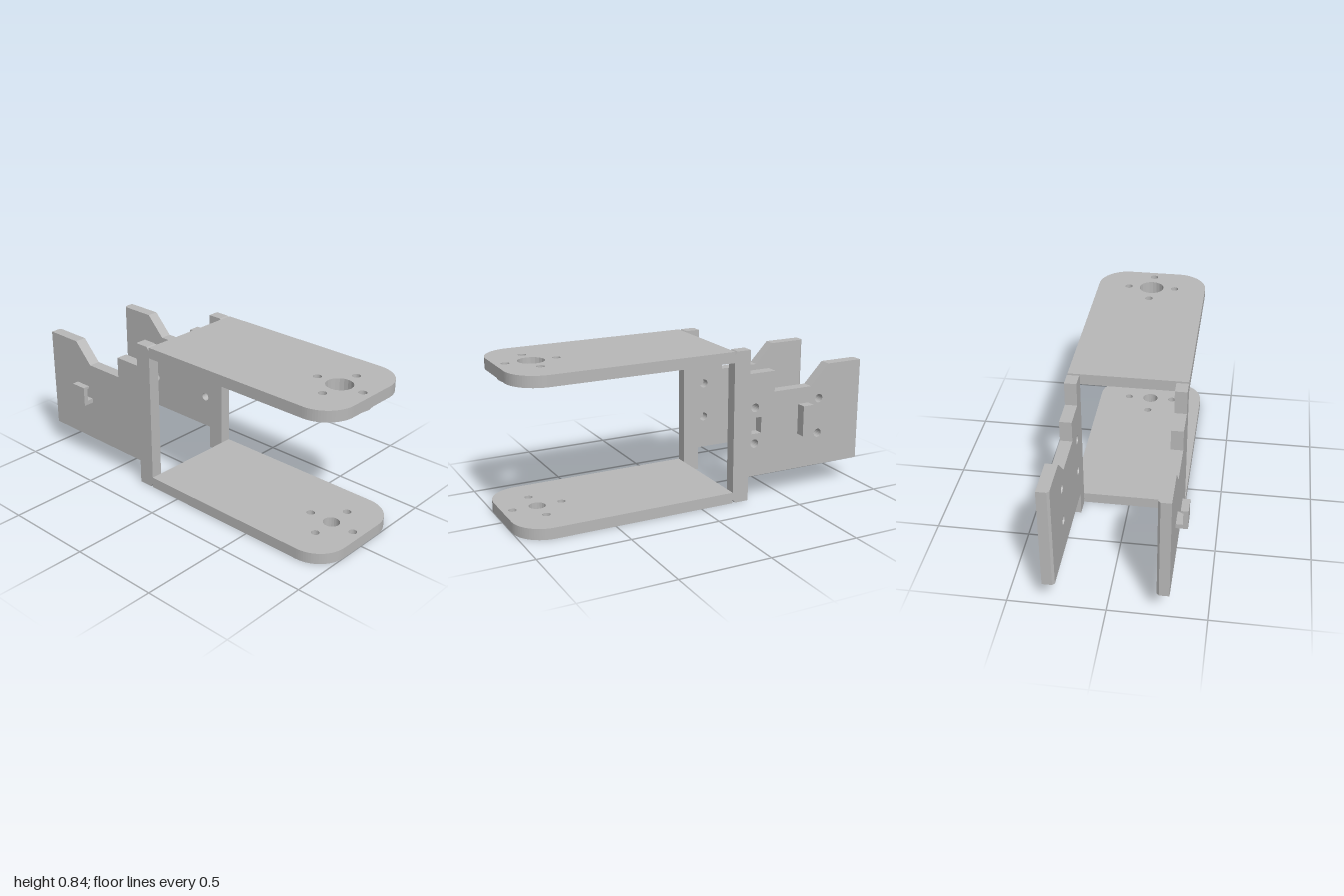
import * as THREE from 'three';

const HALF = 0.313;   // half width of the bracket
const WALL = 0.064;   // side panel thickness
const PIVOT = 0.81;   // z of the pivot holes

const circle = (x, y, r) => new THREE.Path().absarc(x, y, r, 0, Math.PI * 2, true);
const polygon = (pts, Type = THREE.Shape) => new Type(pts.map(([x, y]) => new THREE.Vector2(x, y)));

export function createModel() {
  const model = new THREE.Group();
  model.name = 'hingeBracket';
  const grey = new THREE.MeshStandardMaterial({ color: 0xb8b8b8 });
  grey.name = 'plain grey';

  const add = (name, geometry, parent = model) => {
    const mesh = new THREE.Mesh(geometry, grey);
    mesh.name = name;
    parent.add(mesh);
    return mesh;
  };
  const extrude = (shape, depth) =>
    new THREE.ExtrudeGeometry(shape, { depth, bevelEnabled: false, curveSegments: 10 });

  // Horizontal piece drawn in x/z, hanging down from height top
  const slab = (name, shape, top, thickness) =>
    add(name, extrude(shape, thickness).rotateX(Math.PI / 2).translate(0, top, 0));

  // Arms: long plates with rounded front corners, a pivot hole and four screw holes
  const armShape = (pivotRadius) => {
    const r = 0.17;
    const s = new THREE.Shape();
    s.moveTo(-HALF, -0.19);
    s.lineTo(HALF, -0.19);
    s.lineTo(HALF, 1 - r);
    s.absarc(HALF - r, 1 - r, r, 0, Math.PI / 2, false);
    s.lineTo(r - HALF, 1);
    s.absarc(r - HALF, 1 - r, r, Math.PI / 2, Math.PI, false);
    s.lineTo(-HALF, -0.19);
    s.holes.push(circle(0, PIVOT, pivotRadius));
    for (const [dx, dz] of [[1, 0], [-1, 0], [0, 1], [0, -1]]) {
      s.holes.push(circle(dx * 0.135, PIVOT + dz * 0.135, 0.022));
    }
    return s;
  };
  slab('topArm', armShape(0.07), 0.84, 0.06);
  slab('bottomArm', armShape(0.045), 0.06, 0.06);

  // Round boss below the top arm
  const boss = new THREE.Shape().absarc(0, PIVOT, 0.175, 0, Math.PI * 2, false);
  boss.holes.push(circle(0, PIVOT, 0.07));
  slab('pivotBoss', boss, 0.78, 0.02);

  // Side panels: outline in z/y, post at the front and stepped panel behind
  const outline = [
    [-0.19, 0.02], [-0.19, 0.82], [-0.205, 0.84], [-0.285, 0.84], [-0.285, 0.71],
    [-0.44, 0.71], [-0.44, 0.595], [-0.675, 0.595], [-0.785, 0.71], [-1, 0.71],
    [-1, 0.135], [-0.285, 0.135], [-0.285, 0], [-0.205, 0],
  ];
  const screwHoles = () => [-0.32, -0.73].flatMap((z) => [0.32, 0.52].map((y) => circle(z, y, 0.024)));
  const slot = () =>
    polygon([[-0.36, 0.375], [-0.36, 0.465], [-0.3, 0.465], [-0.3, 0.375]], THREE.Path);

  // One layer of a panel between two x positions; innerX marks the chamfered face
  const layer = (name, parent, x0, x1, holes, innerX) => {
    const shape = polygon(outline);
    shape.holes.push(...holes);
    const g = extrude(shape, x1 - x0).rotateY(-Math.PI / 2).translate(x1, 0, 0);
    if (innerX !== undefined) {
      const p = g.attributes.position;
      for (let i = 0; i < p.count; i++) {
        if (p.getZ(i) < -0.99 && Math.abs(p.getX(i) - innerX) < 0.001) p.setZ(i, -0.988);
      }
      g.computeVertexNormals();
    }
    add(name, g, parent);
  };
  const inner = HALF - WALL;

  // Left panel: through holes, blind slot and a solid latch block
  const left = new THREE.Group();
  left.name = 'leftPanel';
  model.add(left);
  layer('leftPanelOuter', left, inner + 0.012, HALF, [...screwHoles(), slot()]);
  layer('leftPanelInner', left, inner, inner + 0.012, screwHoles(), inner);
  add('latchBlock', new THREE.BoxGeometry(0.054, 0.17, 0.065), left).position.set(HALF + 0.027, 0.42, -0.628);

  // Right panel: holes open only to the inside, with a hook on the outside
  const right = new THREE.Group();
  right.name = 'rightPanel';
  model.add(right);
  layer('rightPanelOuter', right, -HALF, -HALF + 0.015, []);
  layer('rightPanelMiddle', right, -HALF + 0.015, -inner - 0.012, screwHoles());
  layer('rightPanelInner', right, -inner - 0.012, -inner, screwHoles(), -inner);
  const hook = polygon([
    [-HALF, 0.365], [-0.373, 0.365], [-0.373, 0.475], [-0.335, 0.475],
    [-0.335, 0.462], [-0.348, 0.462], [-0.348, 0.39], [-HALF, 0.39],
  ]);
  add('latchHook', extrude(hook, 0.095).translate(0, 0, -0.765), right);

  model.position.x = 0.003;
  return model;
}
